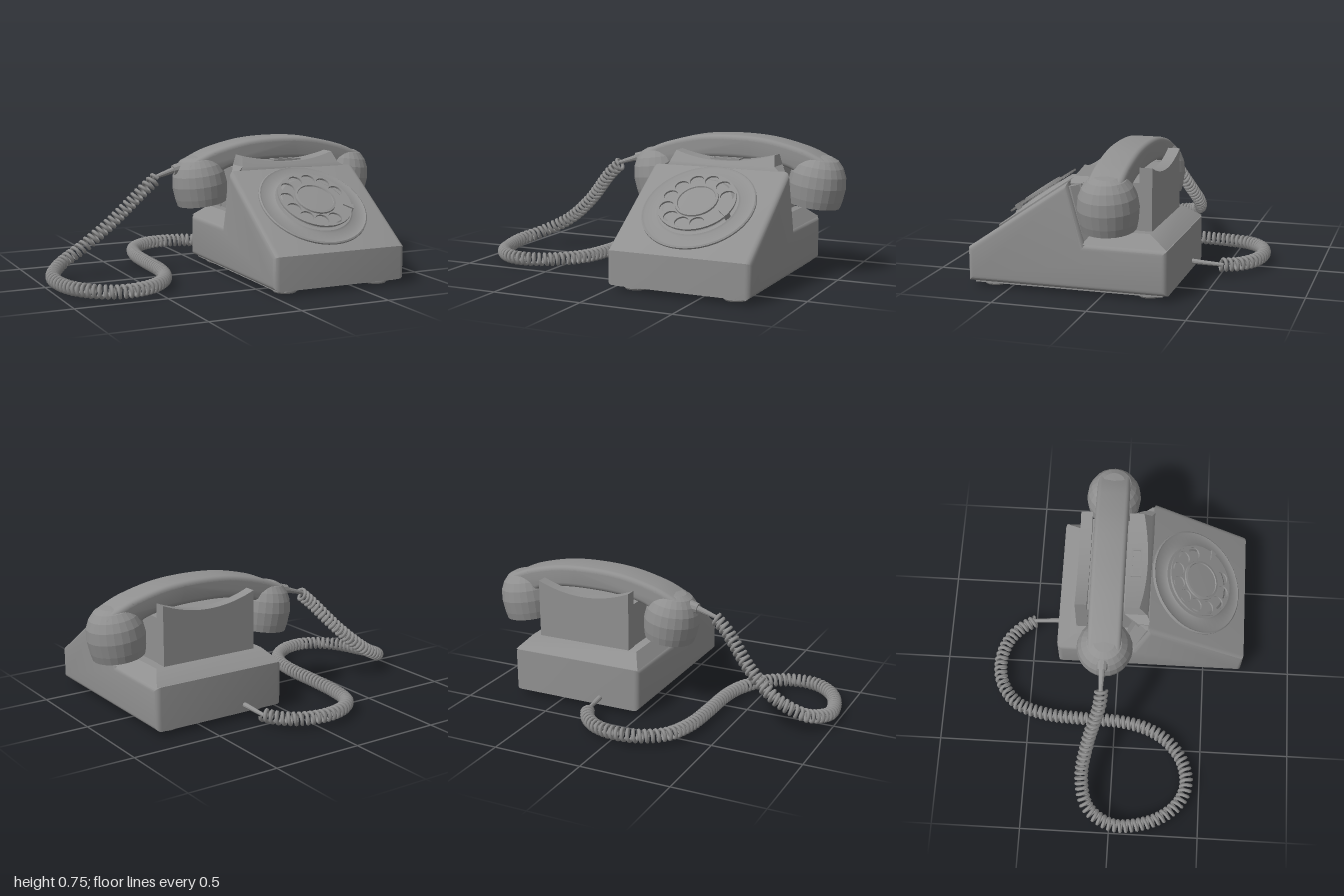
import * as THREE from 'three';
import { toCreasedNormals } from 'three/addons/utils/BufferGeometryUtils.js';
import { ConvexGeometry } from 'three/addons/geometries/ConvexGeometry.js';

const MAT = new THREE.MeshStandardMaterial({ color: 0x909090, side: THREE.DoubleSide });
const CX = 0.39; // middle of the body in x
const V2 = (p) => p.map(([x, y]) => new THREE.Vector2(x, y));
const V3 = (p) => p.map(([x, y, z]) => new THREE.Vector3(x, y, z));

function add(parent, name, geometry, crease = 0.6) {
  const mesh = new THREE.Mesh(crease ? toCreasedNormals(geometry, crease) : geometry, MAT);
  mesh.name = name;
  parent.add(mesh);
  return mesh;
}

// Extrusion whose rounded edges stay inside the outline and the depth
function slab(shape, depth, bevel) {
  const g = new THREE.ExtrudeGeometry(shape, {
    depth: depth - 2 * bevel, bevelEnabled: bevel > 0, bevelSize: bevel, bevelThickness: bevel,
    bevelOffset: -bevel, bevelSegments: 4, curveSegments: 20,
  });
  return g.translate(0, 0, bevel);
}

// Tapered rod between two points
function rod(a, b, ra, rb) {
  const [p, q] = V3([a, b]);
  const d = q.clone().sub(p);
  const g = new THREE.CylinderGeometry(rb, ra, d.length(), 10);
  g.applyQuaternion(new THREE.Quaternion().setFromUnitVectors(new THREE.Vector3(0, 1, 0), d.normalize()));
  return g.translate(...p.add(q).multiplyScalar(0.5).toArray());
}

// Spiral wound around a guide curve
class Coil extends THREE.Curve {
  constructor(guide, turns, radius) {
    super();
    Object.assign(this, { guide, turns, radius, arcLengthDivisions: 4000 });
  }
  getPoint(t, target = new THREE.Vector3()) {
    const tangent = this.guide.getTangentAt(t);
    const side = new THREE.Vector3(0, 1, 0).cross(tangent).normalize();
    const up = tangent.clone().cross(side);
    const a = t * this.turns * Math.PI * 2;
    return target.copy(this.guide.getPointAt(t))
      .addScaledVector(side, Math.cos(a) * this.radius)
      .addScaledVector(up, Math.sin(a) * this.radius);
  }
}

function buildBody(root) {
  const body = new THREE.Group();
  body.name = 'body';
  root.add(body);

  // Wedge housing from its side profile (z, y)
  const profile = new THREE.Shape(V2([[0.72, 0.03], [0.72, 0.21], [0.168, 0.586],
    [0.08, 0.27], [-0.35, 0.27], [-0.35, 0.03]]));
  const wedge = slab(profile, 0.785, 0.03).rotateY(-Math.PI / 2).translate(CX + 0.3925, 0, 0);
  add(body, 'housing', wedge);
  add(body, 'basePlate', new THREE.BoxGeometry(0.72, 0.02, 1.01).translate(CX, 0.03, 0.185));

  // Rear shelf with chamfered sides and back
  const shelf = new THREE.BoxGeometry(0.77, 0.065, 0.465);
  const p = shelf.attributes.position;
  for (let i = 0; i < p.count; i++) {
    if (p.getY(i) < 0) continue;
    p.setX(i, p.getX(i) * 0.85);
    if (p.getZ(i) < 0) p.setZ(i, p.getZ(i) + 0.1);
  }
  add(body, 'shelf', shelf.translate(CX, 0.3025, -0.1125));

  // Chamfered wall rising from the shelf to the top of the slope
  const wall = [];
  for (const s of [-1, 1]) {
    for (const [y, z] of [[0.565, 0.155], [0.27, 0.085], [0.27, 0.16], [0.565, 0.17]]) wall.push([CX + s * 0.375, y, z]);
    for (const [y, z] of [[0.572, 0.1], [0.27, 0.035]]) wall.push([CX + s * 0.33, y, z]);
  }
  add(body, 'rearWall', new ConvexGeometry(V3(wall)), 0.3);

  // Cradle: column, back panel with a dipped top, and front crest
  add(body, 'cradleColumn', new THREE.BoxGeometry(0.55, 0.25, 0.33).translate(CX, 0.455, -0.07));
  const back = new THREE.Shape();
  back.moveTo(CX - 0.28, 0.33);
  back.lineTo(CX + 0.28, 0.33);
  back.lineTo(CX + 0.28, 0.66);
  back.quadraticCurveTo(CX, 0.545, CX - 0.28, 0.66);
  add(body, 'cradleBack', slab(back, 0.065, 0).translate(0, 0, -0.243));

  const crest = new THREE.Shape();
  crest.moveTo(CX - 0.345, 0.53);
  crest.lineTo(CX + 0.345, 0.53);
  crest.lineTo(CX + 0.345, 0.575);
  crest.lineTo(CX + 0.3, 0.605);
  crest.lineTo(CX + 0.283, 0.66);
  crest.quadraticCurveTo(CX, 0.578, CX - 0.283, 0.66);
  crest.lineTo(CX - 0.3, 0.605);
  crest.lineTo(CX - 0.345, 0.575);
  const crestGeo = slab(crest, 1, 0);
  const c = crestGeo.attributes.position;
  for (let i = 0; i < c.count; i++) {
    const x = Math.abs(c.getX(i) - CX), y = c.getY(i);
    const front = y < 0.56 ? 0.165 : 0.178 - (y - 0.575) * 0.8;
    c.setZ(i, c.getZ(i) > 0.5 ? front : x > 0.31 ? 0.11 : 0.03);
  }
  crestGeo.computeVertexNormals();
  add(body, 'cradleCrest', crestGeo);

  // Label frame on top of the crest
  const frame = new THREE.Shape(V2([[-0.085, -0.03], [0.085, -0.03], [0.085, 0.03], [-0.085, 0.03]]));
  frame.holes.push(new THREE.Path(V2([[-0.072, -0.02], [-0.072, 0.02], [0.072, 0.02], [0.072, -0.02]])));
  add(body, 'labelFrame', slab(frame, 0.018, 0).rotateX(-Math.PI / 2).translate(CX, 0.612, 0.08));

  // Ring feet
  const foot = V2([[0, 0.012], [0.042, 0.012], [0.046, 0], [0.06, 0], [0.066, 0.008], [0.066, 0.032]]);
  for (const x of [-0.275, 0.275])
    for (const z of [0.607, -0.232])
      add(body, 'foot', new THREE.LatheGeometry(foot, 24)).position.set(CX + x, 0, z);
}

function buildDial(root) {
  const dial = new THREE.Group();
  dial.name = 'dial';
  dial.position.set(0.38, 0.412, 0.424);
  dial.rotation.x = Math.atan2(0.376, 0.552);
  root.add(dial);

  // Wide surround, number plate and bearing
  add(dial, 'dialSurround', new THREE.LatheGeometry(V2([[0.305, -0.01], [0.305, 0.008], [0.298, 0.013],
    [0.288, 0.008], [0.225, 0.009], [0.215, 0.016], [0, 0.016]]), 48));
  add(dial, 'numberPlate', new THREE.CylinderGeometry(0.18, 0.2, 0.014, 40).translate(0, 0.02, 0));
  add(dial, 'dialBearing', new THREE.CylinderGeometry(0.1, 0.1, 0.03, 32).translate(0, 0.03, 0));

  // Finger wheel with ten holes
  const wheel = new THREE.Shape().absarc(0, 0, 0.208, 0, Math.PI * 2);
  for (let i = 0; i < 10; i++) {
    const a = (20 + 30 * i) * Math.PI / 180;
    wheel.holes.push(new THREE.Path().absarc(0.16 * Math.cos(a), 0.16 * Math.sin(a), 0.038, 0, Math.PI * 2, true));
  }
  add(dial, 'fingerWheel', slab(wheel, 0.01, 0).rotateX(-Math.PI / 2).translate(0, 0.034, 0));
  add(dial, 'dialCentre', new THREE.LatheGeometry(V2([[0.116, 0.04], [0.114, 0.053], [0.102, 0.055],
    [0.099, 0.049], [0, 0.051]]), 36));

  // Finger stop, pointing inwards
  const stop = new ConvexGeometry(V3([[0.155, 0.046, 0], [0.155, 0.052, 0], [0.215, 0.02, -0.018],
    [0.215, 0.052, -0.018], [0.215, 0.02, 0.018], [0.215, 0.052, 0.018]]));
  add(dial, 'fingerStop', stop).rotation.y = -0.4;
}

function buildHandset(root) {
  const handset = new THREE.Group();
  handset.name = 'handset';
  handset.position.set(CX, 0, -0.07);
  root.add(handset);

  // Arched handle
  const handle = new THREE.Shape();
  handle.moveTo(-0.585, 0.52);
  handle.lineTo(-0.575, 0.585);
  handle.splineThru(V2([[-0.55, 0.615], [-0.5, 0.645], [-0.39, 0.69], [-0.2, 0.733], [0, 0.745],
    [0.2, 0.733], [0.39, 0.69], [0.5, 0.645], [0.55, 0.615], [0.575, 0.585]]));
  handle.lineTo(0.585, 0.52);
  handle.lineTo(0.42, 0.52);
  handle.splineThru(V2([[0.33, 0.58], [0.18, 0.612], [0, 0.62], [-0.18, 0.612], [-0.33, 0.58], [-0.42, 0.52]]));
  add(handset, 'handle', slab(handle, 0.185, 0.025).translate(0, 0, -0.0925), 0.7);

  // Faceted earpiece and mouthpiece cups, leaning towards each other
  const cup = V2([[0, 0.03], [0.112, 0.025], [0.118, 0], [0.138, 0], [0.147, 0.04],
    [0.155, 0.11], [0.147, 0.17], [0.127, 0.215], [0.097, 0.25], [0.06, 0.266], [0, 0.27]]);
  for (const s of [-1, 1]) {
    const mesh = add(handset, s < 0 ? 'mouthpiece' : 'earpiece', new THREE.LatheGeometry(cup, 24), 0.1);
    mesh.position.set(s * 0.447, 0.385, 0);
    mesh.rotation.z = -s * 0.13;
  }
}

function buildCord(root) {
  const cord = new THREE.Group();
  cord.name = 'cord';
  root.add(cord);

  // Ends: sleeve at the handset, straight lead into the back of the body
  add(cord, 'handsetSleeve', rod([-0.15, 0.592, -0.075], [-0.23, 0.578, -0.075], 0.036, 0.028));
  add(cord, 'handsetLead', rod([-0.22, 0.58, -0.075], [-0.35, 0.54, -0.075], 0.018, 0.01));
  add(cord, 'bodyLead', rod([0.24, 0.07, -0.34], [0.232, 0.06, -0.52], 0.015, 0.01));

  const guide = new THREE.CatmullRomCurve3(V3([[-0.33, 0.54, -0.072], [-0.4, 0.48, -0.08], [-0.57, 0.3, -0.14],
    [-0.73, 0.17, -0.165], [-0.88, 0.09, -0.12], [-0.96, 0.055, 0.01], [-0.953, 0.042, 0.15], [-0.895, 0.042, 0.3],
    [-0.8, 0.042, 0.395], [-0.7, 0.042, 0.425], [-0.58, 0.042, 0.4], [-0.47, 0.042, 0.32], [-0.395, 0.042, 0.2],
    [-0.36, 0.045, 0.05], [-0.35, 0.045, -0.2], [-0.335, 0.045, -0.4], [-0.28, 0.05, -0.57],
    [-0.17, 0.055, -0.66], [-0.04, 0.055, -0.685], [0.09, 0.055, -0.655], [0.18, 0.055, -0.585], [0.232, 0.06, -0.5]]));
  guide.arcLengthDivisions = 600;
  add(cord, 'coiledCord', new THREE.TubeGeometry(new Coil(guide, 108, 0.03), 1512, 0.01, 6), 0);
}

export function createModel() {
  const root = new THREE.Group();
  root.name = 'telephone';
  buildBody(root);
  buildDial(root);
  buildHandset(root);
  buildCord(root);
  return root;
}
